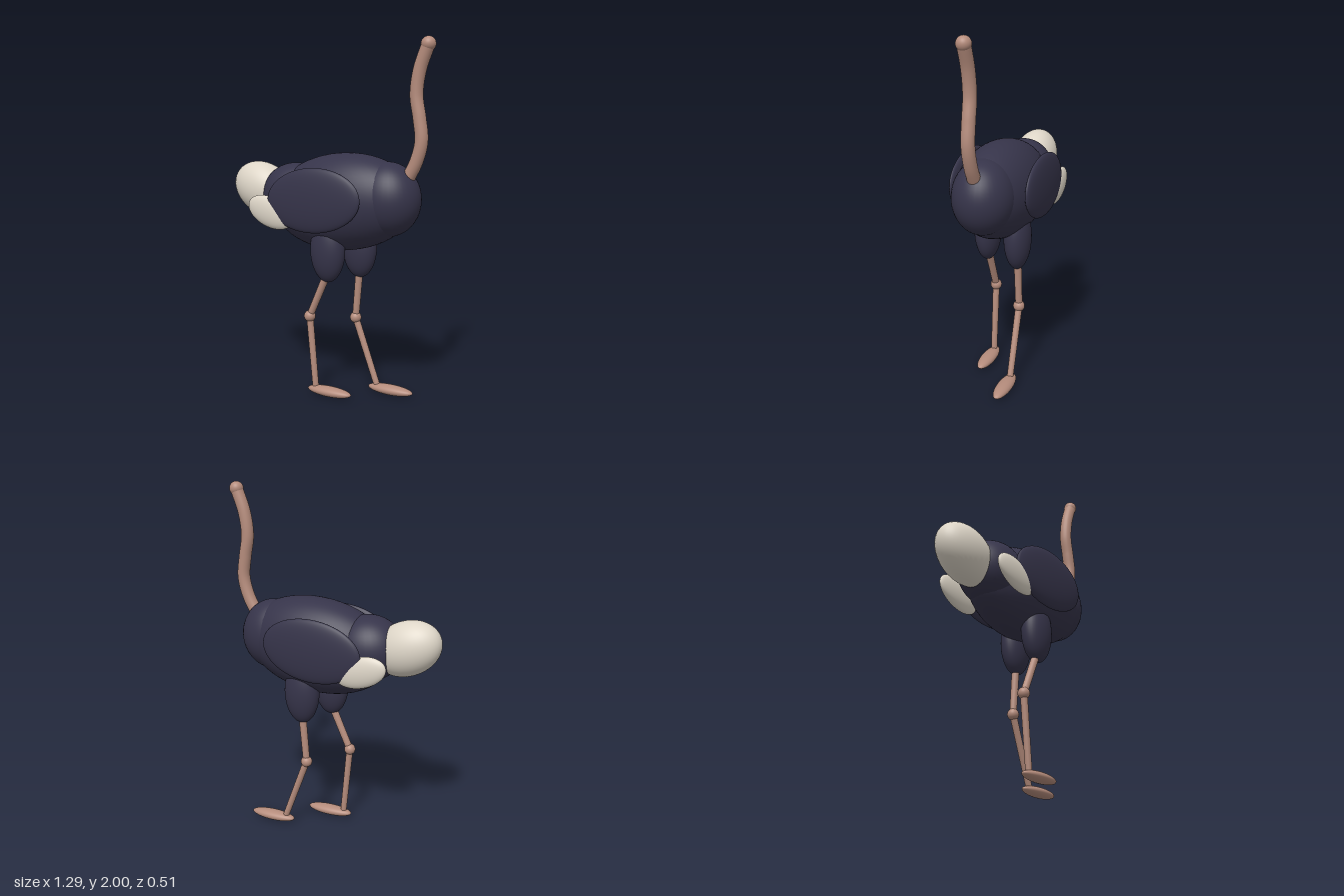
import * as THREE from 'three';

const V = (x, y, z = 0) => new THREE.Vector3(x, y, z);

export function createModel() {
  const group = new THREE.Group();
  const make = (name, color) => {
    const m = new THREE.MeshStandardMaterial({ color });
    m.name = name;
    return m;
  };
  const plumage = make('dark plumage', 0x36344a);
  const white = make('white feathers', 0xded6c8);
  const skin = make('bare skin', 0xb58c7c);

  const add = (name, geometry, material) => {
    const mesh = new THREE.Mesh(geometry, material);
    mesh.name = name;
    group.add(mesh);
    return mesh;
  };

  // Smooth ellipsoid, optionally tilted in the x-y plane
  const ellipsoid = (name, material, pos, size, tilt = 0) => {
    const geo = new THREE.SphereGeometry(1, 40, 28).scale(...size);
    const mesh = add(name, geo, material);
    mesh.position.set(...pos);
    mesh.rotation.z = tilt;
    return mesh;
  };

  // Straight round bone between two points
  const bone = (name, a, b, rTop, rBottom) => {
    const dir = a.clone().sub(b);
    const mesh = add(name, new THREE.CylinderGeometry(rTop, rBottom, dir.length(), 20), skin);
    mesh.position.copy(a).add(b).multiplyScalar(0.5);
    mesh.quaternion.setFromUnitVectors(V(0, 1), dir.normalize());
  };

  // Trunk
  ellipsoid('body', plumage, [0.09, 1.11, 0], [0.45, 0.273, 0.22], 0.1);
  ellipsoid('chest', plumage, [0.37, 1.14, 0], [0.19, 0.205, 0.169]);
  ellipsoid('rump', plumage, [-0.22, 1.13, 0], [0.205, 0.186, 0.178], -0.1);
  ellipsoid('tail', white, [-0.45, 1.153, 0], [0.203, 0.151, 0.127], -0.42);

  // Wings with pale tips
  for (const [side, s] of [['left', 1], ['right', -1]]) {
    ellipsoid(side + 'Wing', plumage, [0.025, 1.132, s * 0.217], [0.297, 0.178, 0.038], 0.07);
    ellipsoid(side + 'WingTip', white, [-0.262, 1.048, s * 0.205], [0.155, 0.086, 0.035], -0.3);
  }

  // Neck
  const neck = new THREE.CatmullRomCurve3([
    V(0.47, 1.22), V(0.54, 1.35), V(0.568, 1.46), V(0.555, 1.58),
    V(0.536, 1.7), V(0.553, 1.83), V(0.6, 1.96),
  ]);
  add('neck', new THREE.TubeGeometry(neck, 60, 0.036, 20), skin);
  ellipsoid('neckEnd', skin, [0.6, 1.96, 0], [0.04, 0.04, 0.04]);

  // Striding legs
  const legs = [
    { side: 'front', z: 0.105, hip: [0.055, 0.72], knee: [-0.065, 0.455], ankle: [-0.025, 0.04], foot: 0.065 },
    { side: 'back', z: -0.105, hip: [0.14, 0.72], knee: [0.115, 0.425], ankle: [0.26, 0.04], foot: 0.345 },
  ];
  for (const { side, z, hip, knee, ankle, foot } of legs) {
    ellipsoid(side + 'Thigh', plumage, [hip[0], 0.85, z], [0.105, 0.185, 0.074]);
    bone(side + 'UpperLeg', V(...hip, z), V(...knee, z), 0.022, 0.02);
    ellipsoid(side + 'Knee', skin, [...knee, z], [0.033, 0.033, 0.033]);
    bone(side + 'LowerLeg', V(...knee, z), V(...ankle, z), 0.02, 0.018);
    ellipsoid(side + 'Foot', skin, [foot, 0.031, z], [0.141, 0.029, 0.044]);
  }

  return group;
}
